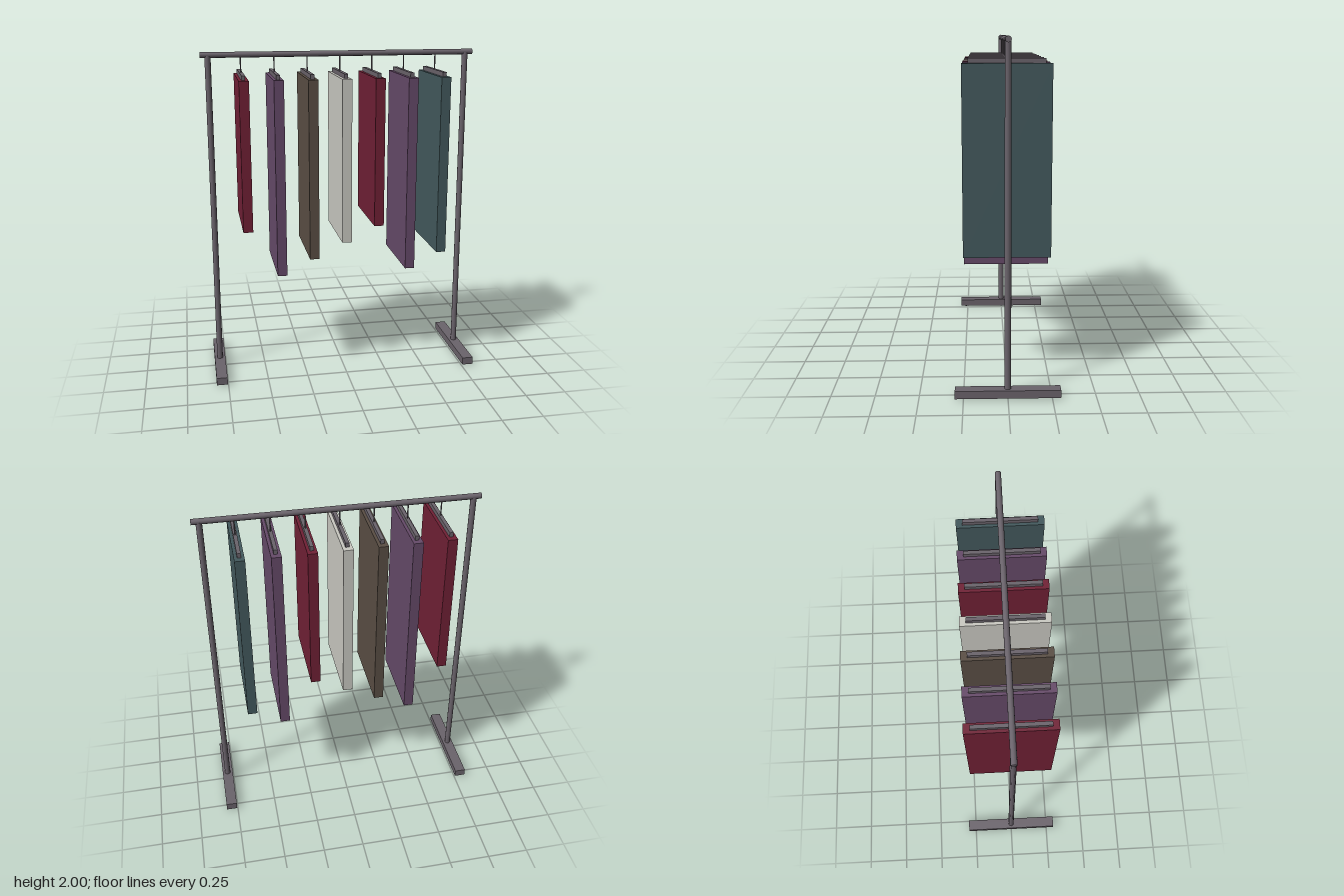
import * as THREE from 'three';

export function createModel() {
  const root = new THREE.Group();
  const paint = (name, color) => {
    const m = new THREE.MeshStandardMaterial({ color });
    m.name = name;
    return m;
  };
  const metal = paint('grey metal', 0x6a636b);
  const red = paint('dark red cloth', 0x702035);
  const purple = paint('purple cloth', 0x664a69);
  const brown = paint('brown cloth', 0x5a4e44);
  const cream = paint('cream cloth', 0xcac9c2);
  const teal = paint('teal cloth', 0x43595d);

  const add = (parent, name, geometry, material, x, y, z) => {
    const mesh = new THREE.Mesh(geometry, material);
    mesh.name = name;
    mesh.position.set(x, y, z);
    parent.add(mesh);
    return mesh;
  };

  // Top rail
  add(root, 'rail', new THREE.CylinderGeometry(0.017, 0.017, 1.666, 12), metal, 0, 1.983, 0)
    .rotation.z = Math.PI / 2;

  // Upright, floor bar and pads at each end
  for (const side of [-1, 1]) {
    const end = new THREE.Group();
    end.name = side > 0 ? 'leftStand' : 'rightStand';
    end.position.x = side * 0.788;
    root.add(end);
    add(end, 'post', new THREE.CylinderGeometry(0.018, 0.018, 1.95, 12), metal, 0, 1.005, 0);
    add(end, 'foot', new THREE.BoxGeometry(0.067, 0.046, 0.596), metal, 0, 0.031, 0);
    for (const z of [-0.262, 0.262])
      add(end, 'pad', new THREE.CylinderGeometry(0.014, 0.014, 0.01, 10), metal, 0, 0.005, z);
  }

  // Hanging garments: cloth and lower hem height, from right to left
  const top = 1.853;
  const garments = [
    [red, 0.96], [purple, 0.675], [brown, 0.77], [cream, 0.865],
    [red, 0.96], [purple, 0.675], [teal, 0.77],
  ];
  garments.forEach(([cloth, hem], i) => {
    const item = new THREE.Group();
    item.name = 'hangingGarment' + (i + 1);
    item.position.x = (i - 3) * 0.199;
    root.add(item);
    add(item, 'garment', new THREE.BoxGeometry(0.058, top - hem, 0.498), cloth, 0, (top + hem) / 2, 0);
    add(item, 'hangerBar', new THREE.BoxGeometry(0.022, 0.034, 0.426), metal, 0, 1.863, 0);
    add(item, 'hook', new THREE.CylinderGeometry(0.004, 0.004, 0.095, 8), metal, 0, 1.926, 0);
  });

  return root;
}
